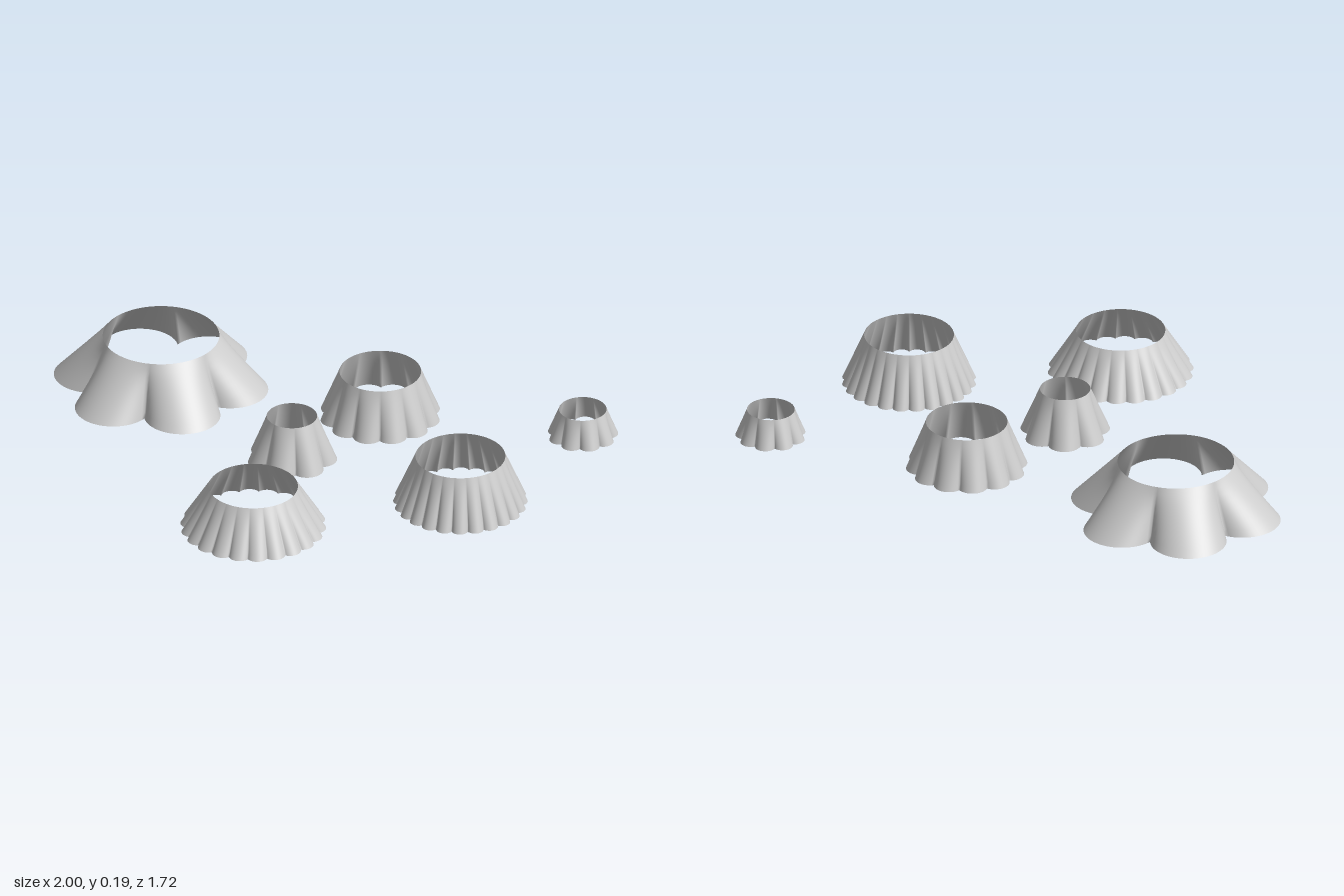
import * as THREE from 'three';

// Scalloped outline: n circular lobes, tips at radius R, each lobe of radius lobeR
function scallop(n, R, lobeR, turn, steps) {
  const d = R - lobeR, half = d * Math.sin(Math.PI / n);
  const valley = d * Math.cos(Math.PI / n) + Math.sqrt(lobeR * lobeR - half * half);
  // half sweep of one lobe, from its tip to the valley
  const sweep = Math.atan2(valley * Math.sin(Math.PI / n), valley * Math.cos(Math.PI / n) - d);
  const pts = [];
  for (let i = 0; i < n; i++) {
    const a = turn + (i / n) * Math.PI * 2;
    for (let j = 0; j < steps; j++) {
      const s = (j / steps * 2 - 1) * sweep;
      pts.push(new THREE.Vector2(
        d * Math.cos(a) + lobeR * Math.cos(a + s),
        d * Math.sin(a) + lobeR * Math.sin(a + s)));
    }
  }
  return pts;
}

// Open skirt lofted from the scalloped base to a round rim
function cutterGeometry({ n, R, lobeR, rim, h, turn }) {
  const steps = n < 10 ? 28 : 16, rows = 8;
  const base = scallop(n, R, lobeR, turn, steps), count = base.length;
  const pos = [], index = [];
  for (let k = 0; k <= rows; k++) {
    const t = k / rows;
    base.forEach((p, i) => {
      const a = turn + (i / count) * Math.PI * 2 - Math.PI / n;
      pos.push(
        THREE.MathUtils.lerp(p.x, rim * Math.cos(a), t),
        h * t,
        THREE.MathUtils.lerp(p.y, rim * Math.sin(a), t));
    });
  }
  for (let k = 0; k < rows; k++) {
    for (let i = 0; i < count; i++) {
      const a = k * count + i, b = k * count + (i + 1) % count;
      index.push(a, a + count, b, b, a + count, b + count);
    }
  }
  const g = new THREE.BufferGeometry();
  g.setAttribute('position', new THREE.Float32BufferAttribute(pos, 3));
  g.setIndex(index);
  g.computeVertexNormals();
  return g;
}

export function createModel() {
  const group = new THREE.Group();
  group.name = 'scallopedCutters';
  const material = new THREE.MeshStandardMaterial({ color: 0xcccccc, side: THREE.DoubleSide });
  const back = -Math.PI / 2; // first lobe points to the back

  const cutters = [
    { name: 'flowerCutter', x: -0.637, z: 0.093, n: 6, R: 0.398, lobeR: 0.14, rim: 0.213, h: 0.195, turn: back - 0.05 },
    { name: 'twelveLobeCutter', x: 0.095, z: -0.31, n: 12, R: 0.223, lobeR: 0.055, rim: 0.149, h: 0.182, turn: back },
    { name: 'sevenLobeCutter', x: 0.093, z: 0.14, n: 7, R: 0.166, lobeR: 0.06, rim: 0.092, h: 0.175, turn: back },
    { name: 'deepFlutedCutter', x: 0.752, z: -0.075, n: 24, R: 0.246, lobeR: 0.031, rim: 0.164, h: 0.19, turn: back },
    { name: 'wideFlutedCutter', x: 0.35, z: 0.59, n: 22, R: 0.267, lobeR: 0.04, rim: 0.163, h: 0.166, turn: back },
    { name: 'smallCutter', x: 0.717, z: -0.735, n: 9, R: 0.13, lobeR: 0.038, rim: 0.087, h: 0.107, turn: back },
  ];
  for (const c of cutters) {
    const mesh = new THREE.Mesh(cutterGeometry(c), material);
    mesh.name = c.name;
    mesh.position.set(c.x, 0, c.z);
    group.add(mesh);
  }
  return group;
}
